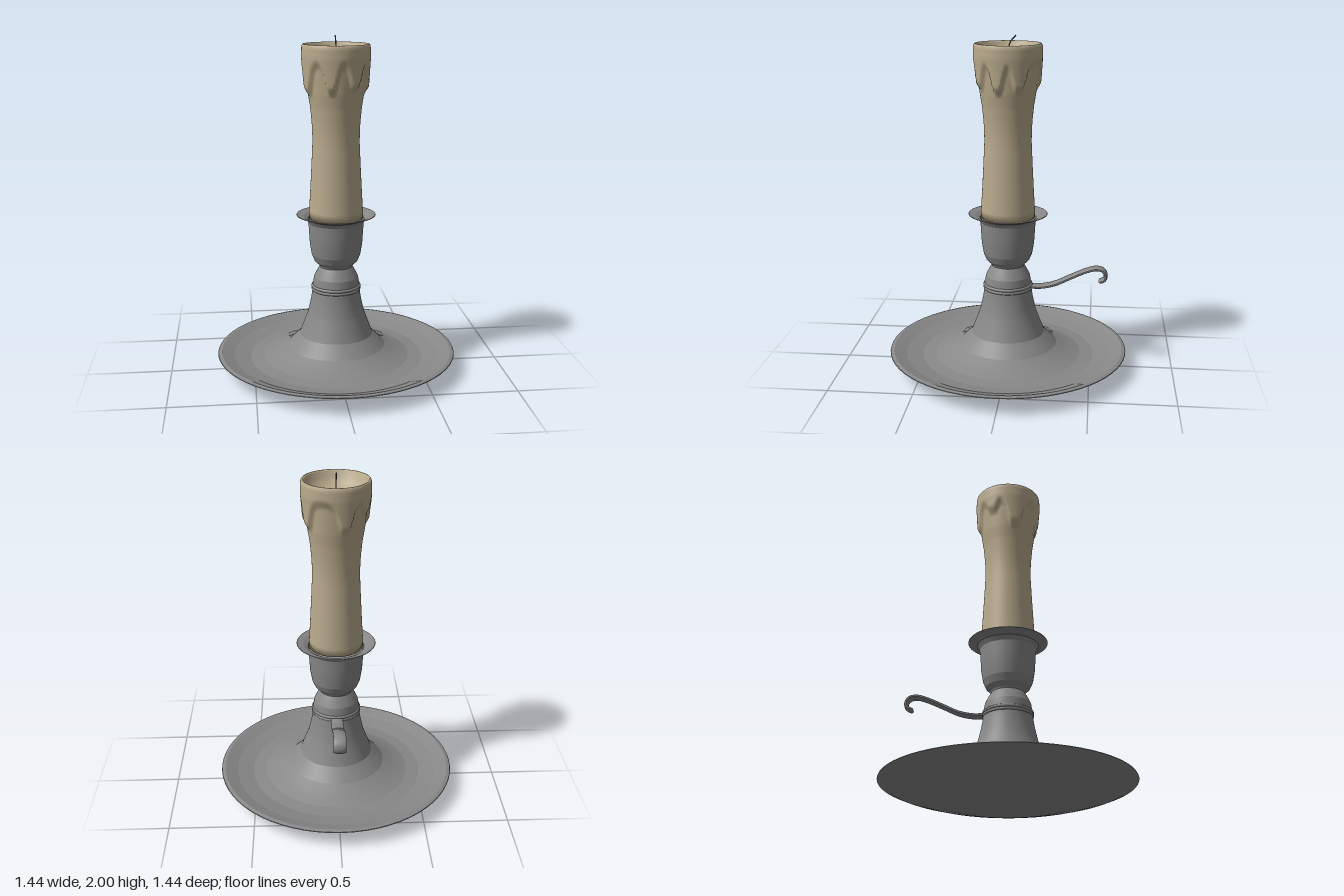
import * as THREE from 'three';
import { mergeVertices, toCreasedNormals } from 'three/addons/utils/BufferGeometryUtils.js';

const metal = new THREE.MeshStandardMaterial({ color: 0x888888 });
const wax = new THREE.MeshStandardMaterial({ color: 0xb9aa8c });
const wickMaterial = new THREE.MeshStandardMaterial({ color: 0x5a5650 });

const points2 = (list) => list.map(([r, y]) => new THREE.Vector2(r, y));

function addMesh(parent, name, geometry, material) {
  const mesh = new THREE.Mesh(geometry, material);
  mesh.name = name;
  parent.add(mesh);
  return mesh;
}

// Candle radius against height: bare core, and the wax coat over it
const CORE = [[0.94, 0.162], [1.1, 0.152], [1.25, 0.144], [1.4, 0.137], [1.5, 0.14],
  [1.6, 0.15], [1.68, 0.163], [1.78, 0.173], [1.86, 0.18], [1.96, 0.184]];
const COAT = [[1.55, 0.172], [1.65, 0.181], [1.72, 0.19], [1.8, 0.194], [1.88, 0.199], [1.96, 0.197]];
function radiusAt(table, y) {
  let i = 0;
  while (i < table.length - 2 && y > table[i + 1][0]) i++;
  const [[y0, r0], [y1, r1]] = [table[i], table[i + 1]];
  return THREE.MathUtils.lerp(r0, r1, (y - y0) / (y1 - y0));
}

// Wax runs: angle from the front in degrees, half width in degrees, lowest y
const ARCH = 1.85;
const RUNS = [[-15, 15, 1.68], [32, 16, 1.7], [75, 15, 1.68], [116, 17, 1.69],
  [-165, 17, 1.69], [-118, 15, 1.77], [-72, 20, 1.67]];
function runEdge(angle) {
  let edge = ARCH;
  for (const [centre, half, low] of RUNS) {
    const d = Math.abs(THREE.MathUtils.euclideanModulo(angle - centre + 180, 360) - 180) / half;
    edge = Math.min(edge, ARCH - (ARCH - low) / (1 + Math.pow(d * 1.2, 4)));
  }
  return edge;
}

function candleGeometry() {
  const profile = [[0, 0.94]];
  for (let i = 0; i <= 14; i++) profile.push([1, 0.94 + i * 0.045]);
  for (let y = 1.585; y < 1.94; y += 0.01) profile.push([1, y]);
  const outerCount = profile.length;
  // Rounded lip and the melted bowl
  profile.push([0.195, 1.948], [0.19, 1.955], [0.184, 1.955], [0.178, 1.947], [0.168, 1.92],
    [0.148, 1.89], [0.112, 1.862], [0.06, 1.846], [0, 1.842]);
  const geometry = new THREE.LatheGeometry(points2(profile), 120);
  const p = geometry.attributes.position;
  for (let i = 0; i < p.count; i++) {
    const row = i % profile.length;
    if (row === 0 || row >= outerCount) continue;
    const y = p.getY(i);
    const angle = Math.atan2(p.getX(i), p.getZ(i));
    const edge = runEdge(THREE.MathUtils.radToDeg(angle));
    const coat = THREE.MathUtils.smoothstep(y, edge - 0.02, edge + 0.045);
    const core = radiusAt(CORE, y);
    const r = THREE.MathUtils.lerp(core, Math.max(core, radiusAt(COAT, y)), coat);
    p.setXYZ(i, Math.sin(angle) * r, y, Math.cos(angle) * r);
  }
  geometry.deleteAttribute('uv');
  geometry.deleteAttribute('normal');
  const welded = mergeVertices(geometry, 1e-4);
  welded.computeVertexNormals();
  return welded;
}

export function createModel() {
  const model = new THREE.Group();
  model.name = 'candlestick';

  // Dish, flared stem, socket and drip flange in one turned profile
  const turned = points2([
    [0, 0.005], [0.28, 0.008], [0.42, 0.022], [0.56, 0.055], [0.66, 0.085], [0.718, 0.11],
    [0.716, 0.114], [0.695, 0.119], [0.62, 0.094], [0.52, 0.077], [0.44, 0.085], [0.38, 0.105],
    [0.345, 0.12], [0.295, 0.147], [0.22, 0.22], [0.17, 0.35], [0.15, 0.44], [0.141, 0.5],
    [0.138, 0.54], [0.132, 0.575], [0.115, 0.61], [0.097, 0.64],
    [0.101, 0.65], [0.128, 0.675], [0.145, 0.715], [0.156, 0.78], [0.161, 0.86],
    [0.164, 0.91], [0.18, 0.936], [0.234, 0.957], [0.232, 0.96], [0.193, 0.95],
    [0.166, 0.935], [0.158, 0.915], [0, 0.915],
  ]);
  addMesh(model, 'holderBody',
    toCreasedNormals(new THREE.LatheGeometry(turned, 64), 0.15), metal);

  // Double collar around the stem
  for (const y of [0.502, 0.519]) {
    const ring = addMesh(model, 'collarRing', new THREE.TorusGeometry(0.138, 0.01, 10, 64), metal);
    ring.rotation.x = Math.PI / 2;
    ring.position.y = y;
  }

  // Strap handle: a tube flattened into a wide band, with a curled tip
  const handle = new THREE.Group();
  handle.name = 'handle';
  model.add(handle);
  const path = new THREE.CatmullRomCurve3([
    [-0.12, 0.508], [-0.2, 0.508], [-0.28, 0.526], [-0.38, 0.573], [-0.47, 0.614], [-0.53, 0.63],
    [-0.57, 0.62], [-0.586, 0.594], [-0.58, 0.564], [-0.556, 0.552],
  ].map(([z, y]) => new THREE.Vector3(0, y, z)));
  const strap = new THREE.TubeGeometry(path, 64, 0.012, 16);
  const sp = strap.attributes.position;
  for (let i = 0; i < sp.count; i++) {
    sp.setX(i, THREE.MathUtils.clamp(sp.getX(i) * 3.3, -0.036, 0.036));
  }
  strap.computeVertexNormals();
  addMesh(handle, 'handleStrap', toCreasedNormals(strap, 0.7), metal);
  const tip = addMesh(handle, 'handleTip', new THREE.SphereGeometry(0.012, 16, 12), metal);
  tip.scale.x = 3;
  tip.position.copy(path.getPoint(1));

  // Candle and its bent wick
  addMesh(model, 'candle', candleGeometry(), wax);
  const wickPath = new THREE.CatmullRomCurve3([
    new THREE.Vector3(0, 1.835, 0), new THREE.Vector3(0, 1.92, -0.002),
    new THREE.Vector3(0, 1.965, -0.015), new THREE.Vector3(0, 1.998, -0.044),
  ]);
  addMesh(model, 'wick', new THREE.TubeGeometry(wickPath, 20, 0.0035, 8), wickMaterial);
  const wickEnd = addMesh(model, 'wickEnd', new THREE.SphereGeometry(0.0035, 8, 6), wickMaterial);
  wickEnd.position.copy(wickPath.getPoint(1));

  return model;
}
